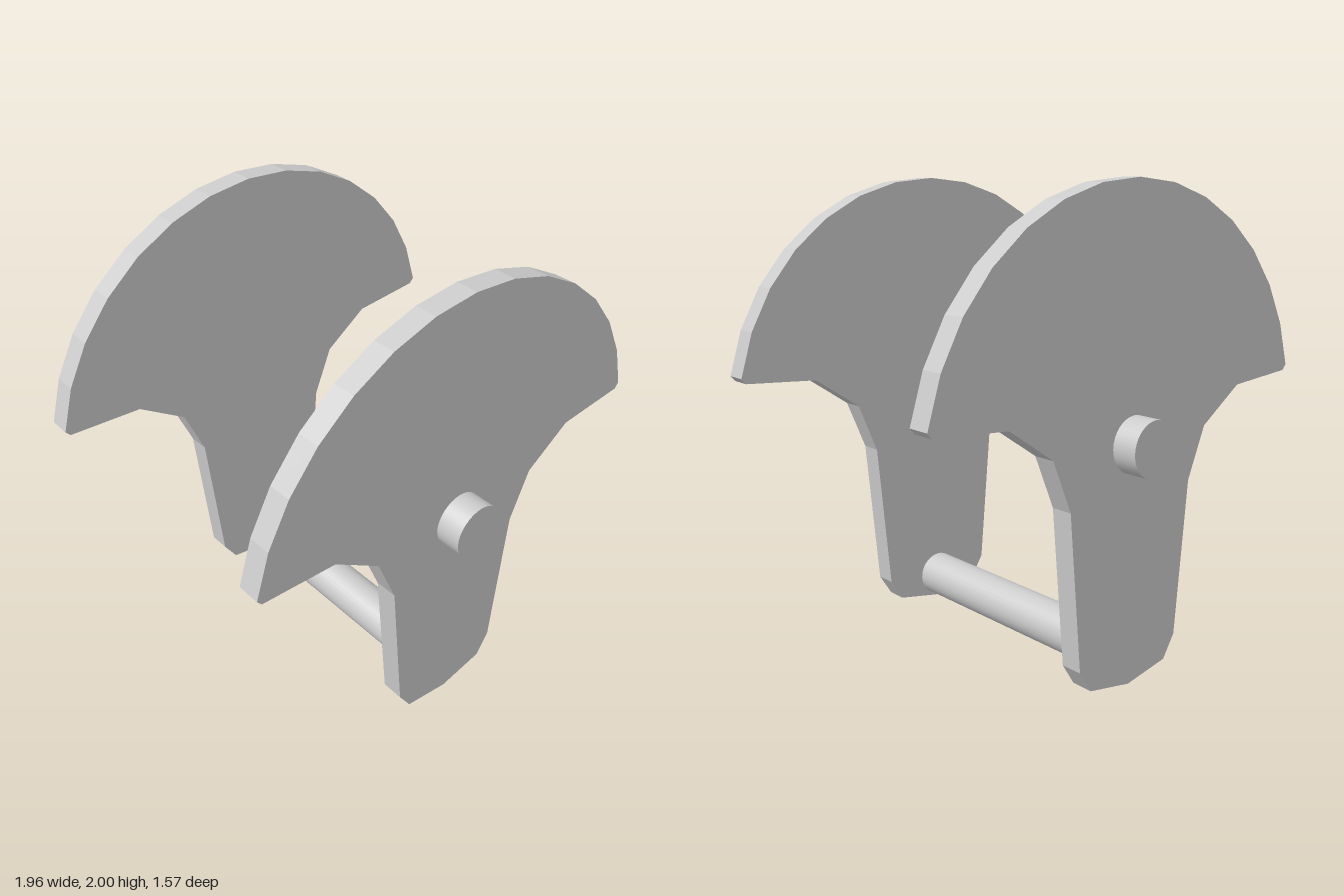
import * as THREE from 'three';

const INNER = 0.58, OUTER = 0.675, PEG_END = 0.785;

// Outline of one side plate: fan-shaped head on a tapering leg
function plateShape() {
  const right = [[0, 0.005], [0.215, 0.045], [0.275, 0.14], [0.335, 0.795],
    [0.425, 1.01], [0.635, 1.153], [0.96, 1.177]];
  const steps = 7, end = Math.acos(0.2);
  for (let i = steps; i >= 0; i--) {
    const a = (end * i) / steps;
    right.push([Math.sin(a), 1 + Math.cos(a)]);
  }
  const left = right.slice(1, -1).reverse().map(([x, y]) => [-x, y]);
  return new THREE.Shape([...right, ...left].map(([x, y]) => new THREE.Vector2(x, y)));
}

export function createModel() {
  const group = new THREE.Group();
  const flat = new THREE.MeshStandardMaterial({ color: 0xcccccc, flatShading: true });
  const smooth = new THREE.MeshStandardMaterial({ color: 0xcccccc });

  const add = (name, geometry, material) => {
    const mesh = new THREE.Mesh(geometry, material);
    mesh.name = name;
    group.add(mesh);
  };

  // Cylinder lying along z between two depths
  const rod = (radius, y, z0, z1) =>
    new THREE.CylinderGeometry(radius, radius, z1 - z0, 32)
      .rotateX(Math.PI / 2)
      .translate(0, y, (z0 + z1) / 2);

  const shape = plateShape();
  for (const [side, s] of [['front', 1], ['back', -1]]) {
    // Side plate
    const plate = new THREE.ExtrudeGeometry(shape, { depth: OUTER - INNER, bevelEnabled: false });
    plate.translate(0, 0, s > 0 ? INNER : -OUTER);
    add(side + 'Plate', plate, flat);

    // Pivot peg on the outer face, rooted inside the plate
    const root = OUTER - 0.04;
    add(side + 'Peg', s > 0 ? rod(0.115, 1, root, PEG_END) : rod(0.115, 1, -PEG_END, -root), smooth);
  }

  // Crossbar joining the two legs
  add('crossbar', rod(0.097, 0.12, -INNER, INNER), smooth);

  return group;
}
